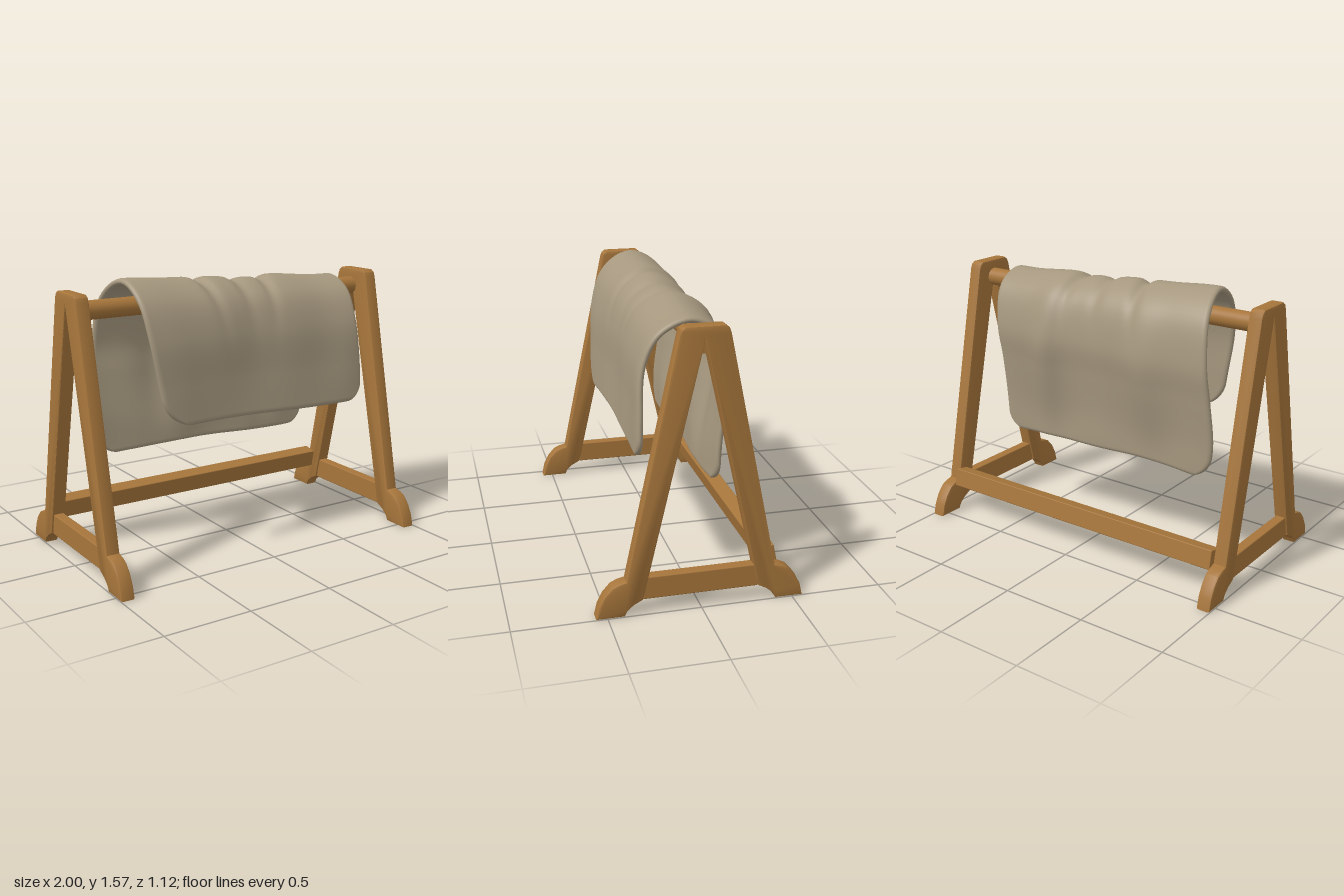
import * as THREE from 'three';
import { mergeGeometries, toCreasedNormals } from 'three/addons/utils/BufferGeometryUtils.js';
import { RoundedBoxGeometry } from 'three/addons/geometries/RoundedBoxGeometry.js';

const wood = new THREE.MeshStandardMaterial({ color: 0xa6753b });
wood.name = 'wood';
const cloth = new THREE.MeshStandardMaterial({ color: 0xa6987f });
cloth.name = 'cloth';

function add(parent, name, geometry, material, x = 0, y = 0, z = 0) {
  const mesh = new THREE.Mesh(geometry, material);
  mesh.name = name;
  mesh.position.set(x, y, z);
  parent.add(mesh);
  return mesh;
}

// A-shaped end with two legs and curved feet, extruded across x
function legGeometry() {
  const half = [
    [0.312, 0.085], [0.36, 0.06], [0.395, 0.03], [0.41, 0], [0.56, 0], [0.545, 0.065], [0.515, 0.125],
    [0.475, 0.17], [0.44, 0.187], [0.4, 0.197], [0.13, 1.48], [0.12, 1.505], [0.1, 1.52],
  ];
  const outline = [[0, 1.455], ...half, ...half.map(([z, y]) => [-z, y]).reverse()];
  const shape = new THREE.Shape(outline.map(([z, y]) => new THREE.Vector2(z, y)));
  const geometry = new THREE.ExtrudeGeometry(shape, {
    depth: 0.06, bevelThickness: 0.01, bevelSize: 0.01, bevelOffset: -0.01, bevelSegments: 2,
  });
  geometry.translate(0, 0, -0.03);
  geometry.rotateY(-Math.PI / 2);
  return toCreasedNormals(geometry, 0.5);
}

// Drape stations from back hem over the rod to front hem: z, y, left x, right x
const stations = [
  [-0.165, 0.555, -0.74, 0.67], [-0.172, 0.75, -0.77, 0.68], [-0.203, 1.0, -0.76, 0.69],
  [-0.222, 1.2, -0.745, 0.71], [-0.165, 1.42, -0.72, 0.74], [0, 1.517, -0.68, 0.755],
  [0.16, 1.435, -0.66, 0.755], [0.235, 1.25, -0.635, 0.75], [0.252, 1.0, -0.59, 0.775],
  [0.265, 0.775, -0.55, 0.785],
];
const spline = (fn) => new THREE.CatmullRomCurve3(stations.map(fn), false, 'catmullrom', 0.5);
const drape = spline(([z, y]) => new THREE.Vector3(0, y, z));
const sides = spline(([, , l, r]) => new THREE.Vector3(l, r, 0));

const bump = (x, centre, width) => Math.exp(-(((x - centre) / width) ** 2));
const corner = (d, r) => (d >= r ? 0 : r - Math.sqrt(Math.max(0, r * r - (r - d) ** 2)));

// Outward push of the cloth: swells between creases that fade below the rod
function folds(x, t) {
  const top = bump(t, 0.56, 0.14);
  const back = bump(t, 0.28, 0.2);
  const front = bump(t, 0.85, 0.2);
  const lean = (t - 0.55) * 0.3;
  let h = top * (0.003 - 0.048 * x);
  h -= top * 0.03 * bump(x, -0.21 + lean, 0.035);
  h -= top * 0.022 * bump(x, 0.03 + lean * 0.3, 0.04);
  h -= top * 0.024 * bump(x, 0.22 - lean * 0.4, 0.035);
  h += back * (0.035 * bump(x, -0.3 + lean * 0.4, 0.12) + 0.045 * bump(x, 0.3 - lean * 0.4, 0.1));
  h += back * (0.012 * bump(x, -0.72, 0.15) - 0.01 * bump(x, 0.05, 0.12));
  h += bump(t, 0.05, 0.12) * 0.012 * Math.cos(x * 9);
  h += front * (0.015 * bump(x, -0.48, 0.16) - 0.015 * bump(x, 0.05, 0.22) + 0.02 * bump(x, 0.72, 0.16));
  return h + 0.004 * Math.sin(x * 13 + t * 5) * Math.sin(t * Math.PI);
}

// One face of the cloth; side is 1 outside, -1 inside, and both meet at the hem
function clothFace(side) {
  const cols = 110, rows = 100, halfThick = 0.018;
  const positions = [], index = [];
  for (let j = 0; j <= rows; j++) {
    const t = 0.5 - 0.5 * Math.cos((Math.PI * j) / rows);
    const p = drape.getPoint(t);
    const tan = drape.getTangent(t);
    const edge = sides.getPoint(t);
    const isFront = t > 0.55;
    const d = p.y - (isFront ? stations[9][1] : stations[0][1]);
    const left = edge.x + corner(d, isFront ? 0.17 : 0.12);
    const right = edge.y - corner(d, 0.11);
    for (let i = 0; i <= cols; i++) {
      const u = 0.5 - 0.5 * Math.cos((Math.PI * i) / cols);
      const x = left + (right - left) * u;
      // Rounded hem: thickness closes to nothing at the border
      const e = Math.min(x - left, right - x, Math.max(d, 0), 0.025) / 0.025;
      const thick = halfThick * Math.sqrt(Math.max(0, 1 - (1 - e) ** 2));
      const push = folds(x, t) + side * thick;
      const hem = 0.01 * Math.sin(x * 4 + 2.5) * (1 - Math.min(1, d / 0.4));
      positions.push(x, p.y + tan.z * push + hem, p.z - tan.y * push);
    }
  }
  const w = cols + 1;
  for (let j = 0; j < rows; j++) {
    for (let i = 0; i < cols; i++) {
      const a = j * w + i, b = a + 1, c = a + w, e = c + 1;
      if (side > 0) index.push(a, c, b, b, c, e);
      else index.push(a, b, c, b, e, c);
    }
  }
  const geometry = new THREE.BufferGeometry();
  geometry.setAttribute('position', new THREE.Float32BufferAttribute(positions, 3));
  geometry.setIndex(index);
  geometry.computeVertexNormals();
  return geometry;
}

export function createModel() {
  const model = new THREE.Group();
  model.name = 'blanketRack';

  // End frames
  const legs = legGeometry();
  for (const s of [1, -1]) {
    const frame = new THREE.Group();
    frame.name = s > 0 ? 'leftEndFrame' : 'rightEndFrame';
    frame.position.x = s * 0.96;
    add(frame, 'legs', legs, wood);
    add(frame, 'crossbar', new RoundedBoxGeometry(0.06, 0.125, 0.62, 2, 0.006), wood, 0, 0.1455, 0);
    model.add(frame);
  }

  // Hanging rod
  const rod = new THREE.CylinderGeometry(0.052, 0.052, 1.88, 32);
  rod.rotateZ(Math.PI / 2);
  add(model, 'rod', rod, wood, 0, 1.418, -0.007);

  // Rear rail, leaning with the back legs
  const rail = add(model, 'rearRail', new RoundedBoxGeometry(1.84, 0.108, 0.086, 2, 0.005), wood, 0, 0.214, -0.386);
  rail.rotation.x = 0.21;

  // Draped blanket
  add(model, 'blanket', mergeGeometries([clothFace(1), clothFace(-1)]), cloth);
  return model;
}
